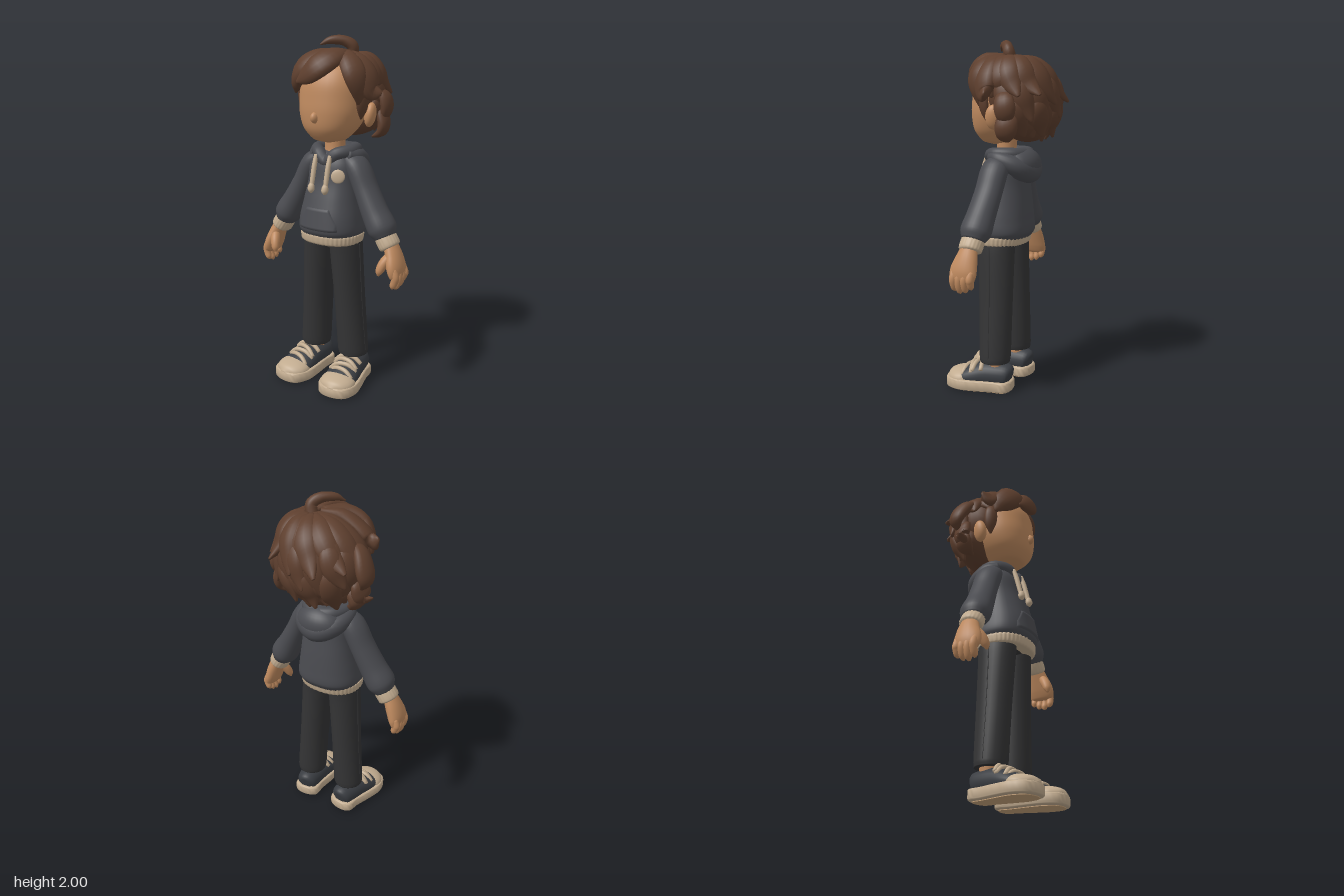
import * as THREE from 'three';
import { toCreasedNormals } from 'three/addons/utils/BufferGeometryUtils.js';

const V = (x, y, z) => new THREE.Vector3(x, y, z);
const mat = (name, color) => Object.assign(new THREE.MeshStandardMaterial({ color }), { name });
const rad = THREE.MathUtils.degToRad;

// Closed skin swept along stations [x, y, z, halfWidth, halfDepth]; ref gives the depth axis.
// With flat, the rings stay level and the stations must run upwards.
function sweep(stations, { n = 20, steps = 24, ref = V(0, 0, 1), flat = false, pow = 2, ribs = 0 } = {}) {
  const path = new THREE.CatmullRomCurve3(stations.map(s => V(s[0], s[1], s[2])));
  const size = new THREE.CatmullRomCurve3(stations.map(s => V(s[3], s[4] ?? s[3], 0)), false, 'catmullrom');
  const pos = [], idx = [];
  const bend = c => Math.sign(c) * Math.abs(c) ** (2 / pow);
  for (let i = 0; i <= steps; i++) {
    const p = path.getPoint(i / steps), r = size.getPoint(i / steps);
    const t = flat ? V(0, 1, 0) : path.getTangent(i / steps);
    const b = (typeof ref === 'function' ? ref(p) : ref).clone();
    b.addScaledVector(t, -b.dot(t)).normalize();
    const a = t.clone().cross(b);
    for (let j = 0; j < n; j++) {
      const q = j / n * Math.PI * 2, rib = ribs ? 1 + 0.012 * Math.cos(ribs * q) : 1;
      const v = p.clone()
        .addScaledVector(a, Math.max(r.x, 0.001) * rib * bend(Math.cos(q)))
        .addScaledVector(b, Math.max(r.y, 0.001) * rib * bend(Math.sin(q)));
      pos.push(v.x, v.y, v.z);
    }
  }
  for (let i = 0; i < steps; i++) for (let j = 0; j < n; j++) {
    const a = i * n + j, b = i * n + (j + 1) % n;
    idx.push(a, a + n, b, b, a + n, b + n);
  }
  const first = pos.length / 3, last = steps * n;
  const p0 = path.getPoint(0), p1 = path.getPoint(1);
  pos.push(p0.x, p0.y, p0.z, p1.x, p1.y, p1.z);
  for (let j = 0; j < n; j++) {
    const k = (j + 1) % n;
    idx.push(first, j, k, first + 1, last + k, last + j);
  }
  const g = new THREE.BufferGeometry();
  g.setAttribute('position', new THREE.Float32BufferAttribute(pos, 3));
  g.setIndex(idx);
  g.computeVertexNormals();
  return g;
}

export function createModel() {
  const model = new THREE.Group();
  model.name = 'character';
  const skin = mat('skin', 0xbf8a5f), hair = mat('hair', 0x5e3f2e), cloth = mat('hoodie grey', 0x4a4b50);
  const trouser = mat('trouser charcoal', 0x343435), cream = mat('cream', 0xc2ac90);
  const canvas = mat('shoe canvas', 0x3a3d42), tread = mat('tread tan', 0xc4a078);
  cloth.side = THREE.DoubleSide;
  const add = (name, geo, m, parent = model) => {
    const mesh = new THREE.Mesh(geo, m);
    mesh.name = name;
    parent.add(mesh);
    return mesh;
  };
  const ball = (name, m, [x, y, z], [a, b, c], parent) => {
    const mesh = add(name, new THREE.SphereGeometry(1, 28, 20), m, parent);
    mesh.position.set(x, y, z);
    mesh.scale.set(a, b, c);
    return mesh;
  };
  const group = name => { const g = new THREE.Group(); g.name = name; model.add(g); return g; };

  // Head, nose, neck
  add('head', sweep([[0, 1.425, 0.07, 0.03, 0.04], [0, 1.44, 0.07, 0.09, 0.09], [0, 1.5, 0.06, 0.15, 0.145],
    [0, 1.58, 0.04, 0.184, 0.178], [0, 1.66, 0.035, 0.19, 0.18], [0, 1.76, 0.02, 0.185, 0.18],
    [0, 1.84, 0, 0.15, 0.15], [0, 1.88, 0, 0.04, 0.04]], { flat: true, n: 36, steps: 36, pow: 2.15 }), skin);
  ball('nose', skin, [0, 1.57, 0.207], [0.023, 0.032, 0.034]);
  add('neck', sweep([[0, 1.3, 0.03, 0.07], [0, 1.38, 0.025, 0.058], [0, 1.47, 0.02, 0.06]], { flat: true }), skin);

  // Hair mass and locks
  const locks = group('hair'), C = V(-0.012, 1.67, -0.045);
  ball('hairCap', hair, [-0.005, 1.7, -0.06], [0.23, 0.215, 0.19], locks);
  ball('napeHair', hair, [-0.008, 1.565, -0.11], [0.225, 0.125, 0.125], locks);
  const lock = (points, w, thick = 0.55) => {
    const shape = [0.4, 0.85, 1, 0.8, 0.16];
    add('hairLock', sweep(points.map((p, i) => [...p, w * shape[i], w * thick * shape[i]]),
      { ref: p => p.clone().sub(C), n: 14, steps: 18 }), hair, locks);
  };
  let seed = 11;
  const rand = () => (seed = (seed * 16807) % 2147483647) / 2147483647 - 0.5;
  // Lock following the skull from one elevation to another, flicking out at its tip
  const skullLock = (az, el0, el1, k, w, shift, base = 1) => {
    lock([0, 0.28, 0.55, 0.8, 1].map((t, i) => {
      const e = rad(el0 + (el1 - el0) * t), a = rad(az + 18 * t * t);
      const s = [0.95, 0.97, 0.97, 0.99, k][i] * base;
      return [C.x + 0.25 * s * Math.sin(a) * Math.cos(e) + shift * (1 - t),
        C.y + 0.245 * s * Math.sin(e), C.z + 0.225 * s * Math.cos(a) * Math.cos(e)];
    }), w, 0.6);
  };
  // Crown layer, then its long flicked tips, the middle layer and the nape clumps
  for (let az = 60, i = 0; az <= 285; az += 22, i++)
    skullLock(az, 80, 14 + rand() * 20, 1.0 + rand() * 0.06, 0.066, 0.07, i % 2 ? 0.98 : 0.93);
  for (const [az, el, k] of [[181, -1, 1.23], [124, 5, 1.27], [101, 4, 1.18], [211, 4, 1.25], [240, 0, 1.22], [152, -4, 1.15]])
    skullLock(az, 80, el, k, 0.07, 0.06, 1);
  for (let az = 94, i = 0; az <= 238; az += 24, i++)
    skullLock(az, 40, -20 + rand() * 16, 1.12 + rand() * 0.08, 0.062, 0, i % 2 ? 1.02 : 0.97);
  for (let az = 94, i = 0; az <= 232; az += 17, i++)
    skullLock(az, 5, -50 + rand() * 14, 1.14 + rand() * 0.08, 0.058, 0, i % 2 ? 1.03 : 0.96);
  // Fringe and temples
  lock([[0.06, 1.91, 0], [0.07, 1.895, 0.12], [0.02, 1.845, 0.195], [-0.05, 1.795, 0.21], [-0.12, 1.755, 0.21]], 0.075);
  lock([[0.03, 1.91, 0], [-0.04, 1.885, 0.11], [-0.12, 1.825, 0.15], [-0.185, 1.75, 0.12], [-0.215, 1.69, 0.1]], 0.085);
  lock([[0.03, 1.91, -0.02], [-0.07, 1.885, 0.04], [-0.17, 1.82, 0.06], [-0.23, 1.775, 0.06], [-0.28, 1.8, 0.04]], 0.075);
  lock([[0.08, 1.905, -0.01], [0.13, 1.88, 0.08], [0.185, 1.81, 0.11], [0.205, 1.73, 0.1], [0.2, 1.64, 0.085]], 0.068);
  lock([[0.08, 1.905, -0.03], [0.16, 1.865, 0.03], [0.215, 1.79, 0.04], [0.245, 1.71, 0.03], [0.295, 1.7, 0.01]], 0.075);
  // Side bulges and curls beside the ears
  lock([[-0.19, 1.8, -0.05], [-0.25, 1.76, -0.08], [-0.29, 1.69, -0.11], [-0.305, 1.63, -0.12], [-0.28, 1.58, -0.12]], 0.062);
  lock([[-0.2, 1.66, -0.1], [-0.25, 1.61, -0.1], [-0.265, 1.56, -0.1], [-0.28, 1.52, -0.09], [-0.325, 1.53, -0.08]], 0.06);
  lock([[-0.18, 1.6, -0.11], [-0.23, 1.56, -0.11], [-0.25, 1.51, -0.1], [-0.225, 1.47, -0.09], [-0.18, 1.45, -0.08]], 0.058);
  lock([[0.2, 1.72, -0.08], [0.25, 1.68, -0.09], [0.262, 1.63, -0.1], [0.255, 1.58, -0.1], [0.23, 1.54, -0.1]], 0.06);
  lock([[0.18, 1.63, -0.1], [0.225, 1.59, -0.1], [0.245, 1.53, -0.1], [0.235, 1.48, -0.09], [0.18, 1.45, -0.08]], 0.062);
  for (const s of [-1, 1])
    lock([[s * 0.19, 1.76, 0.04], [s * 0.205, 1.71, 0.06], [s * 0.205, 1.66, 0.06], [s * 0.2, 1.61, 0.055], [s * 0.19, 1.56, 0.05]], 0.038);
  add('cowlick', sweep([[0.07, 1.89, -0.04, 0.034], [0.08, 1.94, -0.03, 0.032], [0.045, 1.97, 0, 0.028],
    [-0.015, 1.972, 0.05, 0.021], [-0.055, 1.95, 0.085, 0.004]], { ref: V(1, 0, 0.3), n: 14 }), hair, locks);

  // Hoodie body, hem and trousers seat
  add('hoodieBody', sweep([[0, 0.893, 0.045, 0.172, 0.15], [0, 0.93, 0.045, 0.19, 0.172], [0, 1, 0.045, 0.184, 0.17],
    [0, 1.1, 0.035, 0.167, 0.152], [0, 1.2, 0.025, 0.153, 0.13], [0, 1.3, 0.02, 0.148, 0.115],
    [0, 1.36, 0.015, 0.115, 0.09], [0, 1.38, 0.01, 0.08, 0.06]], { flat: true, n: 40, steps: 36, pow: 2.4 }), cloth);
  add('hem', sweep([[0, 0.852, 0.052, 0.168, 0.138], [0, 0.86, 0.052, 0.18, 0.148], [0, 0.895, 0.05, 0.184, 0.155],
    [0, 0.907, 0.048, 0.181, 0.155]], { flat: true, n: 160, steps: 8, ribs: 40, pow: 2.3 }), cream);
  ball('trouserSeat', trouser, [0, 0.89, 0.045], [0.16, 0.055, 0.125]);

  // Hood: collar ring, drooping rim and sack
  const hood = group('hood');
  const ring = pts => new THREE.CatmullRomCurve3(pts.map(p => V(...p)), true);
  add('collar', new THREE.TubeGeometry(ring([[0, 1.318, 0.105], [0.06, 1.362, 0.095], [0.112, 1.376, 0.03], [0.08, 1.375, -0.07],
    [0, 1.37, -0.1], [-0.08, 1.375, -0.07], [-0.112, 1.376, 0.03], [-0.06, 1.362, 0.095]]), 64, 0.036, 14, true), cloth, hood);
  add('hoodRim', sweep([[0.11, 1.36, 0.07, 0.03], [0.127, 1.345, 0, 0.046], [0.09, 1.305, -0.09, 0.058], [0, 1.272, -0.12, 0.064],
    [-0.09, 1.305, -0.09, 0.058], [-0.127, 1.345, 0, 0.046], [-0.11, 1.36, 0.07, 0.03]], { ref: V(0, 1, 0), steps: 40 }), cloth, hood);
  ball('hoodSack', cloth, [0, 1.31, -0.078], [0.14, 0.1, 0.102], hood);

  // Front pocket hugging the belly
  const pocket = new THREE.PlaneGeometry(2, 1, 24, 12), pp = pocket.attributes.position;
  for (let i = 0; i < pp.count; i++) {
    const u = pp.getX(i), v = pp.getY(i) + 0.5;
    const x = u * (v < 0.35 ? 0.135 : 0.135 - 0.06 * (v - 0.35) / 0.65), y = 0.935 + 0.135 * v, f = (y - 0.935) / 0.165;
    const rx = 0.19 - 0.023 * f, rz = 0.172 - 0.02 * f;
    const edge = Math.abs(u) > 0.99 || v < 0.01 || v > 0.99;
    pp.setXYZ(i, x, y, 0.045 - 0.01 * f + rz * (1 - Math.abs(x / rx) ** 2.4) ** (1 / 2.4) + (edge ? -0.006 : 0.012));
  }
  pocket.computeVertexNormals();
  add('pocket', pocket, cloth);

  // Drawstrings and badge
  for (const x of [-0.053, 0.042]) {
    add('drawstring', sweep([[x, 1.355, 0.13, 0.012], [x, 1.3, 0.148, 0.014], [x, 1.24, 0.163, 0.014], [x, 1.19, 0.175, 0.013]], { n: 10 }), cream);
    add('drawstringTip', sweep([[x, 1.2, 0.173, 0.01], [x, 1.185, 0.178, 0.018], [x, 1.162, 0.182, 0.019], [x, 1.145, 0.184, 0.007]], { n: 12, steps: 12 }), cream);
  }
  ball('badge', cream, [0.095, 1.245, 0.13], [0.039, 0.039, 0.01]).rotation.set(-0.1, 0.5, 0);

  // Shoe outline shared by soles and treads
  const half = [[0.065, -0.055], [0.075, 0.02], [0.098, 0.13], [0.108, 0.22], [0.078, 0.295]];
  const outline = [[0, -0.075], ...half, [0, 0.318], ...half.slice().reverse().map(([x, z]) => [-x, z])];
  const soleShape = new THREE.Shape(new THREE.CatmullRomCurve3(outline.map(([x, z]) => V(x, z, 0)), true)
    .getPoints(60).slice(0, -1).map(p => new THREE.Vector2(p.x, p.y)));
  const soleGeo = toCreasedNormals(new THREE.ExtrudeGeometry(soleShape, { depth: 0.034, bevelSize: 0.014, bevelThickness: 0.014,
    bevelOffset: -0.006, bevelSegments: 4 }).rotateX(Math.PI / 2).translate(0, 0.05, 0), 0.7);
  const treadGeo = new THREE.ExtrudeGeometry(soleShape, { depth: 0.004, bevelEnabled: false })
    .rotateX(Math.PI / 2).scale(0.86, 1, 0.93).translate(0, 0.004, 0.008);

  for (const s of [-1, 1]) {
    const side = s > 0 ? 'left' : 'right';
    const m = rows => rows.map(([x, ...r]) => [s * x, ...r]);
    ball(side + 'Ear', skin, [s * 0.213, 1.58, -0.008], [0.032, 0.068, 0.046]).rotation.set(0, s * 0.4, -s * 0.15);

    // Arm
    const arm = group(side + 'Arm');
    add('sleeve', sweep(m([[0.09, 1.335, 0.02, 0.045, 0.06], [0.15, 1.29, 0.02, 0.064, 0.08], [0.215, 1.17, 0.025, 0.066, 0.08],
      [0.28, 1.05, 0.035, 0.074, 0.083], [0.333, 0.965, 0.04, 0.08, 0.088], [0.357, 0.922, 0.042, 0.058, 0.066]]), { n: 28 }), cloth, arm);
    add('cuff', sweep(m([[0.343, 0.94, 0.042, 0.056, 0.064], [0.365, 0.908, 0.043, 0.06, 0.067], [0.386, 0.876, 0.045, 0.058, 0.065],
      [0.391, 0.868, 0.045, 0.045, 0.052]]), { n: 80, steps: 10, ribs: 20 }), cream, arm);
    add('palm', sweep(m([[0.385, 0.9, 0.045, 0.036, 0.045], [0.415, 0.83, 0.05, 0.042, 0.066], [0.437, 0.765, 0.058, 0.041, 0.08],
      [0.447, 0.72, 0.058, 0.03, 0.072], [0.45, 0.705, 0.058, 0.012, 0.05]])), skin, arm);
    for (let i = 0; i < 4; i++) {
      const z = 0.006 + i * 0.034, drop = [0.028, 0.008, 0, 0.012][i];
      add('finger', sweep(m([[0.445, 0.77, z, 0.02], [0.46, 0.73, z, 0.022], [0.457, 0.69 + drop, z, 0.021],
        [0.445, 0.66 + drop, z, 0.018], [0.438, 0.645 + drop, z, 0.005]]), { n: 12, steps: 14 }), skin, arm);
    }
    add('thumb', sweep(m([[0.41, 0.84, 0.075, 0.024], [0.387, 0.795, 0.11, 0.028], [0.372, 0.75, 0.13, 0.022], [0.367, 0.725, 0.135, 0.006]]),
      { n: 12, steps: 14 }), skin, arm);

    // Leg with outer seam
    const leg = group(side + 'Leg');
    add('trouserLeg', sweep(m([[0.137, 0.17, 0.03, 0.085, 0.088], [0.135, 0.2, 0.03, 0.089, 0.092], [0.115, 0.5, 0.035, 0.085, 0.1],
      [0.094, 0.8, 0.042, 0.088, 0.11], [0.088, 0.88, 0.042, 0.086, 0.115]]), { flat: true, n: 28 }), trouser, leg);
    add('seam', sweep(m([[0.183, 0.85, 0.04, 0.003], [0.2, 0.5, 0.035, 0.003], [0.223, 0.2, 0.03, 0.003]]), { n: 6 }), trouser, leg);
    add('ankle', sweep([[s * 0.137, 0.1, 0.02, 0.05], [s * 0.137, 0.2, 0.025, 0.055]], { flat: true, steps: 4 }), skin, leg);

    // Shoe, turned slightly outward
    const shoe = group(side + 'Shoe'), up = { ref: V(0, 1, 0), n: 28 };
    shoe.position.x = s * 0.137;
    shoe.rotation.y = s * 0.11;
    add('sole', soleGeo, cream, shoe);
    add('tread', treadGeo, tread, shoe).position.y = -0.004;
    add('upper', sweep([[0, 0.085, -0.072, 0.03, 0.04], [0, 0.09, -0.055, 0.06, 0.065], [0, 0.092, 0, 0.073, 0.072], [0, 0.088, 0.08, 0.083, 0.076],
      [0, 0.076, 0.15, 0.094, 0.066], [0, 0.064, 0.21, 0.096, 0.051], [0, 0.055, 0.25, 0.08, 0.04]], up), canvas, shoe);
    add('toeCap', sweep([[0, 0.06, 0.19, 0.098, 0.05], [0, 0.06, 0.215, 0.105, 0.053], [0, 0.057, 0.255, 0.1, 0.05], [0, 0.052, 0.295, 0.072, 0.04],
      [0, 0.048, 0.32, 0.02, 0.015]], up), cream, shoe);
    [[0.1, 0.165], [0.132, 0.153], [0.164, 0.14], [0.194, 0.122]].forEach(([z, y], i) => {
      const k = i % 2 ? 0.012 : -0.012;
      add('lace', sweep([[-0.078, y - 0.036, z - k, 0.012], [-0.04, y - 0.002, z - k / 2, 0.013], [0, y + 0.006, z, 0.013],
        [0.04, y - 0.002, z + k / 2, 0.013], [0.078, y - 0.036, z + k, 0.012]], { ref: V(0, 1, 0), n: 8, steps: 14 }), cream, shoe);
    });
  }
  return model;
}
